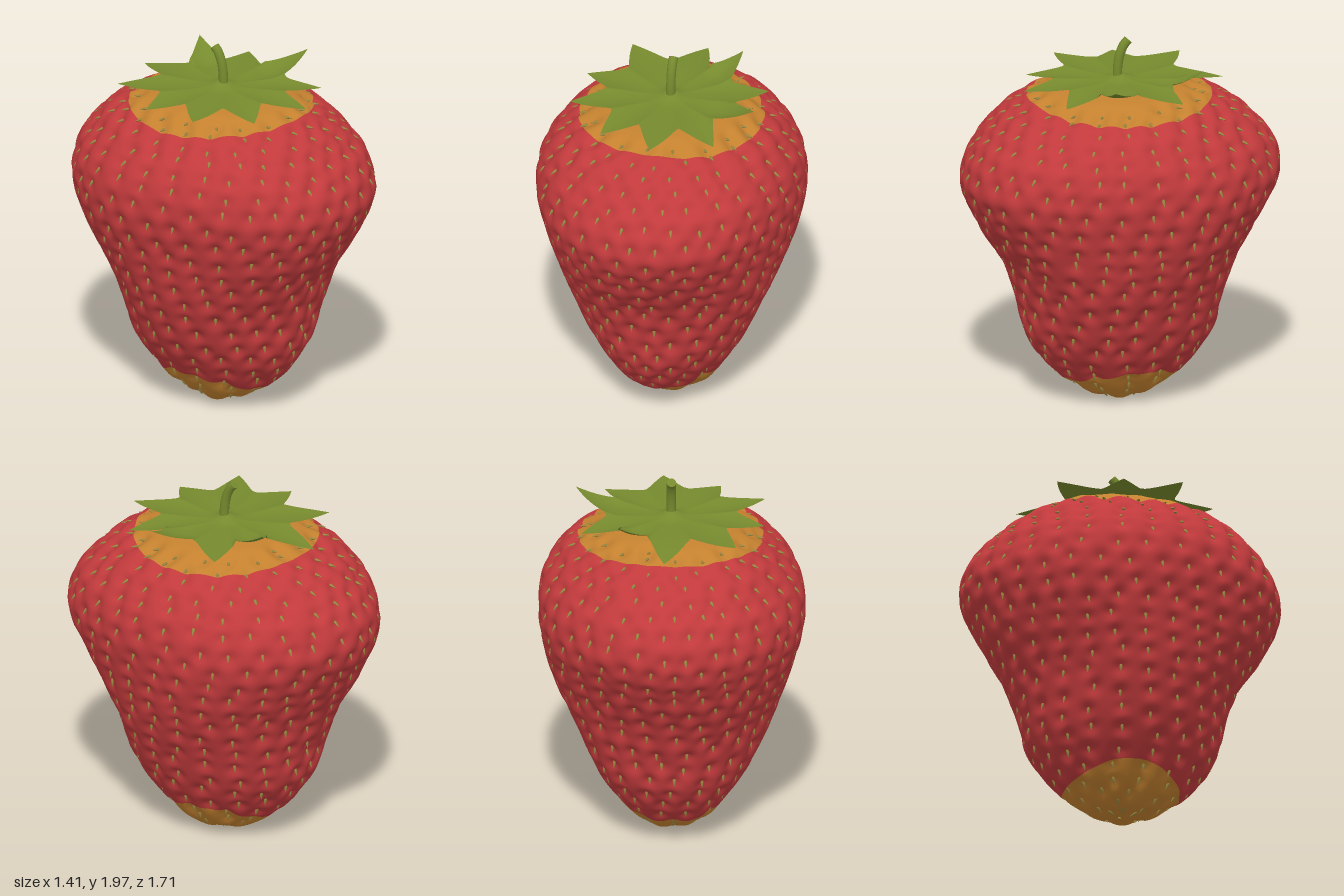
import * as THREE from 'three';
import { mergeGeometries } from 'three/addons/utils/BufferGeometryUtils.js';

const mat = (name, color, side = THREE.FrontSide) => {
  const m = new THREE.MeshStandardMaterial({ color, side });
  m.name = name;
  return m;
};

// seeded random numbers, -1..1
let state = 7;
const rand = () => {
  state = (state * 16807) % 2147483647;
  return (state / 2147483647) * 2 - 1;
};

// fruit profile from tip to crown: [half width x, height, half width z]
const profile = new THREE.CatmullRomCurve3([
  [0, 0.025, 0], [0.12, 0.04, 0.13], [0.22, 0.11, 0.26], [0.29, 0.2, 0.37], [0.42, 0.4, 0.505],
  [0.51, 0.6, 0.555], [0.59, 0.8, 0.63], [0.65, 1.0, 0.75], [0.695, 1.2, 0.845], [0.7, 1.3, 0.852],
  [0.68, 1.42, 0.81], [0.62, 1.53, 0.72], [0.54, 1.62, 0.62], [0.44, 1.695, 0.49], [0.33, 1.738, 0.36],
  [0.18, 1.755, 0.19], [0, 1.76, 0],
].map(p => new THREE.Vector3(...p)));
const STEPS = 600;
const samples = profile.getSpacedPoints(STEPS);

function basePoint(theta, t) {
  const f = Math.min(Math.max(t, 0), 1) * STEPS, i = Math.min(Math.floor(f), STEPS - 1);
  const p = samples[i].clone().lerp(samples[i + 1], f - i);
  return new THREE.Vector3(p.x * Math.sin(theta), p.y, p.z * Math.cos(theta));
}

function frame(theta, t) {
  const tc = Math.min(Math.max(t, 0.004), 0.996);
  const up = basePoint(theta, tc + 0.003).sub(basePoint(theta, tc - 0.003)).normalize();
  const around = basePoint(theta + 0.01, tc).sub(basePoint(theta - 0.01, tc)).normalize();
  return { up, around, normal: around.clone().cross(up).normalize() };
}

// staggered rows of seed positions
function seedSpots() {
  const spots = [], rows = 27;
  for (let r = 0; r < rows; r++) {
    const t0 = 0.025 + (r / rows) * 0.95;
    const p = profile.getPointAt(t0);
    const n = Math.max(4, Math.round(Math.PI * (p.x + p.z) / 0.155));
    for (let k = 0; k < n; k++) {
      const theta = ((k + (r % 2) / 2 + rand() * 0.13) / n) * Math.PI * 2;
      const t = t0 + rand() * 0.007;
      const pos = basePoint(theta, t);
      if (pos.y > 1 && Math.hypot(pos.x, pos.z) < 0.37) continue;
      spots.push({ theta, t, pos });
    }
  }
  return spots;
}

// skin point with a dimple at each seed and gentle waviness
function skinPoint(theta, t, spots) {
  const p = basePoint(theta, t), { normal } = frame(theta, t);
  let dent = 0;
  for (const s of spots) {
    const d2 = s.pos.distanceToSquared(p);
    if (d2 < 0.015) dent += Math.exp(-d2 / 0.0017);
  }
  const fade = Math.sin(Math.PI * t);
  const wave = 0.006 * fade * (Math.sin(5 * theta + 9 * t) + Math.sin(3 * theta - 21 * t));
  return p.addScaledVector(normal, 0.006 + wave - 0.025 * Math.min(dent, 1.2));
}

// profile position where the plan radius reaches r, searched between a and b
function findT(theta, r, a, b) {
  for (let i = 0; i < 24; i++) {
    const m = (a + b) / 2, p = basePoint(theta, m);
    if (Math.hypot(p.x, p.z) < r) a = m; else b = m;
  }
  return a;
}

function fruitGeometry(spots) {
  const around = 220, bands = [16, 118, 20], rows = 154;
  const pos = [], index = [];
  for (let i = 0; i < around; i++) {
    const theta = (i / around) * Math.PI * 2;
    const cuts = [0, findT(theta, 0.31, 0, 0.5), findT(theta, 0.49, 1, 0.6), 1];
    for (let b = 0; b < 3; b++) {
      for (let j = 0; j < bands[b] + (b === 2 ? 1 : 0); j++) {
        const t = cuts[b] + (cuts[b + 1] - cuts[b]) * j / bands[b];
        pos.push(...skinPoint(theta, t, spots).toArray());
      }
    }
  }
  for (let j = 0; j < rows; j++) {
    for (let i = 0; i < around; i++) {
      const a = i * (rows + 1) + j, b = ((i + 1) % around) * (rows + 1) + j;
      index.push(a, b, b + 1, a, b + 1, a + 1);
    }
  }
  const g = new THREE.BufferGeometry();
  g.setAttribute('position', new THREE.Float32BufferAttribute(pos, 3));
  g.setIndex(index);
  g.computeVertexNormals();
  let start = 0;
  bands.forEach((n, b) => {
    g.addGroup(start, n * around * 6, b === 1 ? 0 : 1);
    start += n * around * 6;
  });
  return g;
}

// teardrop seeds, thin end pointing down and slightly outward
function seedsGeometry(spots) {
  const drop = new THREE.SphereGeometry(1, 7, 5);
  const p = drop.attributes.position;
  for (let i = 0; i < p.count; i++) {
    const y = p.getY(i), taper = 0.6 + 0.4 * y;
    p.setXYZ(i, p.getX(i) * 0.013 * taper, y * 0.025, p.getZ(i) * 0.011 * taper);
  }
  drop.computeVertexNormals();
  const tilt = new THREE.Matrix4().makeRotationX(-0.5);
  return mergeGeometries(spots.map(s => {
    const { up, around, normal } = frame(s.theta, s.t);
    const m = new THREE.Matrix4().makeBasis(around, up, normal);
    m.setPosition(skinPoint(s.theta, s.t, spots).addScaledVector(normal, 0.008));
    return drop.clone().applyMatrix4(m.multiply(tilt));
  }));
}

// leafy cap: ten pointed lobes as [tip x, tip z, tip height]
const tips = [
  [0.03, 0.54, 1.765], [0.34, 0.4, 1.75], [0.5, 0.18, 1.865], [0.48, -0.2, 1.76], [0.29, -0.38, 1.87],
  [0.05, -0.56, 1.74], [-0.33, -0.44, 1.775], [-0.49, -0.12, 1.76], [-0.5, 0.2, 1.775], [-0.27, 0.43, 1.75],
].map(([x, z, h]) => ({ a: (Math.atan2(x, z) + 2 * Math.PI) % (2 * Math.PI), r: Math.hypot(x, z), h }));

function calyxGeometry() {
  const rings = 22, perHalf = 9, pos = [], index = [];
  let cols = 0;
  tips.forEach((tip, k) => {
    const next = tips[(k + 1) % tips.length];
    const span = (next.a - tip.a + 2 * Math.PI) % (2 * Math.PI);
    for (let s = 0; s < perHalf * 2; s++, cols++) {
      const f = s / (perHalf * 2), near = f < 0.5 ? tip : next;
      const u = 1 - Math.abs(2 * f - 1), a = tip.a + span * f;
      const edge = 0.345 + (near.r - 0.345) * Math.pow(1 - u, 1.4);
      for (let j = 0; j <= rings; j++) {
        const q = j / rings, r = edge * q;
        const out = Math.max(0, (r - 0.27) / (near.r - 0.27));
        const y = 1.772 + 0.03 * Math.exp(-((r / 0.06) ** 2))
          + (near.h - 1.772) * out ** 1.6
          - 0.016 * q * q * (1 - u) * (1 - out) + 0.012 * q * q * u;
        pos.push(r * Math.sin(a), y, r * Math.cos(a));
      }
    }
  });
  for (let i = 0; i < cols; i++) {
    for (let j = 0; j < rings; j++) {
      const a = i * (rings + 1) + j, b = ((i + 1) % cols) * (rings + 1) + j;
      index.push(a, a + 1, b + 1, a, b + 1, b);
    }
  }
  const g = new THREE.BufferGeometry();
  g.setAttribute('position', new THREE.Float32BufferAttribute(pos, 3));
  g.setIndex(index);
  g.computeVertexNormals();
  return g;
}

export function createModel() {
  const red = mat('berry red', 0xc23a3c), tan = mat('unripe orange', 0xc4812f);
  const green = mat('leaf green', 0x768a2e, THREE.DoubleSide), seedColor = mat('seed olive', 0x97853f);
  const group = new THREE.Group();
  const add = (name, geometry, material) => {
    const mesh = new THREE.Mesh(geometry, material);
    mesh.name = name;
    group.add(mesh);
    return mesh;
  };

  const spots = seedSpots();
  add('fruit', fruitGeometry(spots), [red, tan]);
  add('seeds', seedsGeometry(spots), seedColor);
  add('leafCap', calyxGeometry(), green);

  // curved stem with a cut end
  const path = new THREE.CatmullRomCurve3([[0, 1.76, 0.01], [0, 1.84, 0.008], [0, 1.91, -0.005], [0, 1.96, -0.028], [0, 1.983, -0.05]]
    .map(p => new THREE.Vector3(...p)));
  add('stem', new THREE.TubeGeometry(path, 20, 0.025, 12), green);
  const end = add('stemEnd', new THREE.CircleGeometry(0.025, 12), green);
  end.position.copy(path.getPoint(1));
  end.lookAt(path.getPoint(1).add(path.getTangent(1)));
  return group;
}
